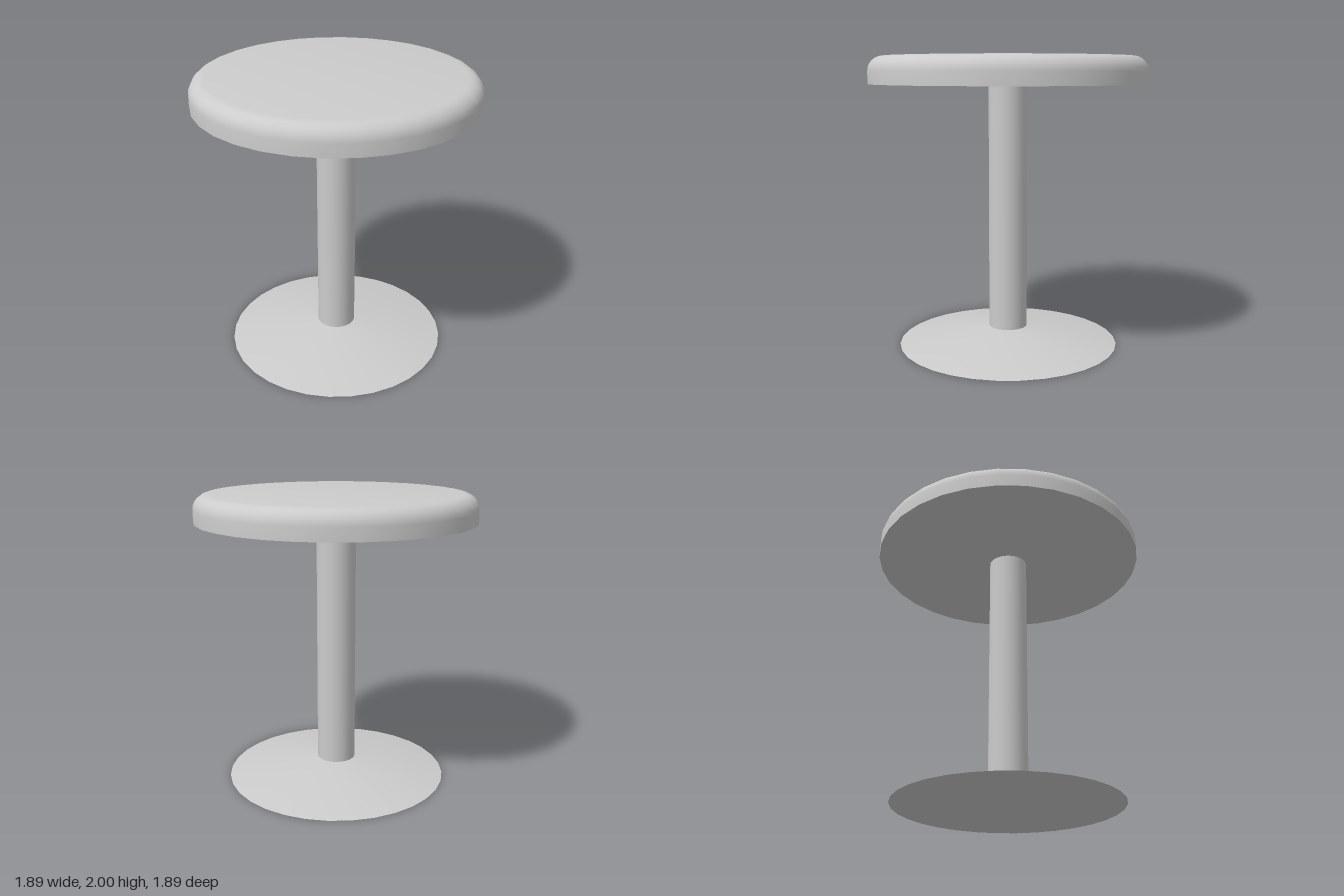
import * as THREE from 'three';
import { toCreasedNormals } from 'three/addons/utils/BufferGeometryUtils.js';

const SIDES = 32;
const material = new THREE.MeshStandardMaterial({ color: 0xcccccc });

// Solid of revolution from [radius, height] pairs, listed bottom to top
function turned(name, profile) {
  const points = profile.map(([r, y]) => new THREE.Vector2(r, y));
  const geometry = toCreasedNormals(new THREE.LatheGeometry(points, SIDES), 0.7);
  const mesh = new THREE.Mesh(geometry, material);
  mesh.name = name;
  return mesh;
}

export function createModel() {
  const group = new THREE.Group();
  group.name = 'pedestalStool';

  const baseRadius = 0.765, baseTop = 0.115;
  const columnRadius = 0.133;
  const seatRadius = 0.943, seatBottom = 1.815, seatTop = 2, rounding = 0.1;

  // Shallow conical foot
  group.add(turned('base', [[0, 0], [baseRadius, 0], [columnRadius, baseTop], [0, baseTop]]));

  // Upright post
  const height = seatBottom - baseTop;
  const column = new THREE.Mesh(
    new THREE.CylinderGeometry(columnRadius, columnRadius, height, SIDES, 1, true), material);
  column.name = 'column';
  column.position.y = baseTop + height / 2;
  group.add(column);

  // Round seat with a softened upper rim
  const seat = [[0, seatBottom], [seatRadius, seatBottom]];
  const steps = 6;
  for (let i = 0; i <= steps; i++) {
    const a = (i / steps) * Math.PI / 2;
    seat.push([
      seatRadius - rounding + rounding * Math.cos(a),
      seatTop - rounding + rounding * Math.sin(a),
    ]);
  }
  seat.push([0, seatTop]);
  group.add(turned('seat', seat));

  return group;
}
